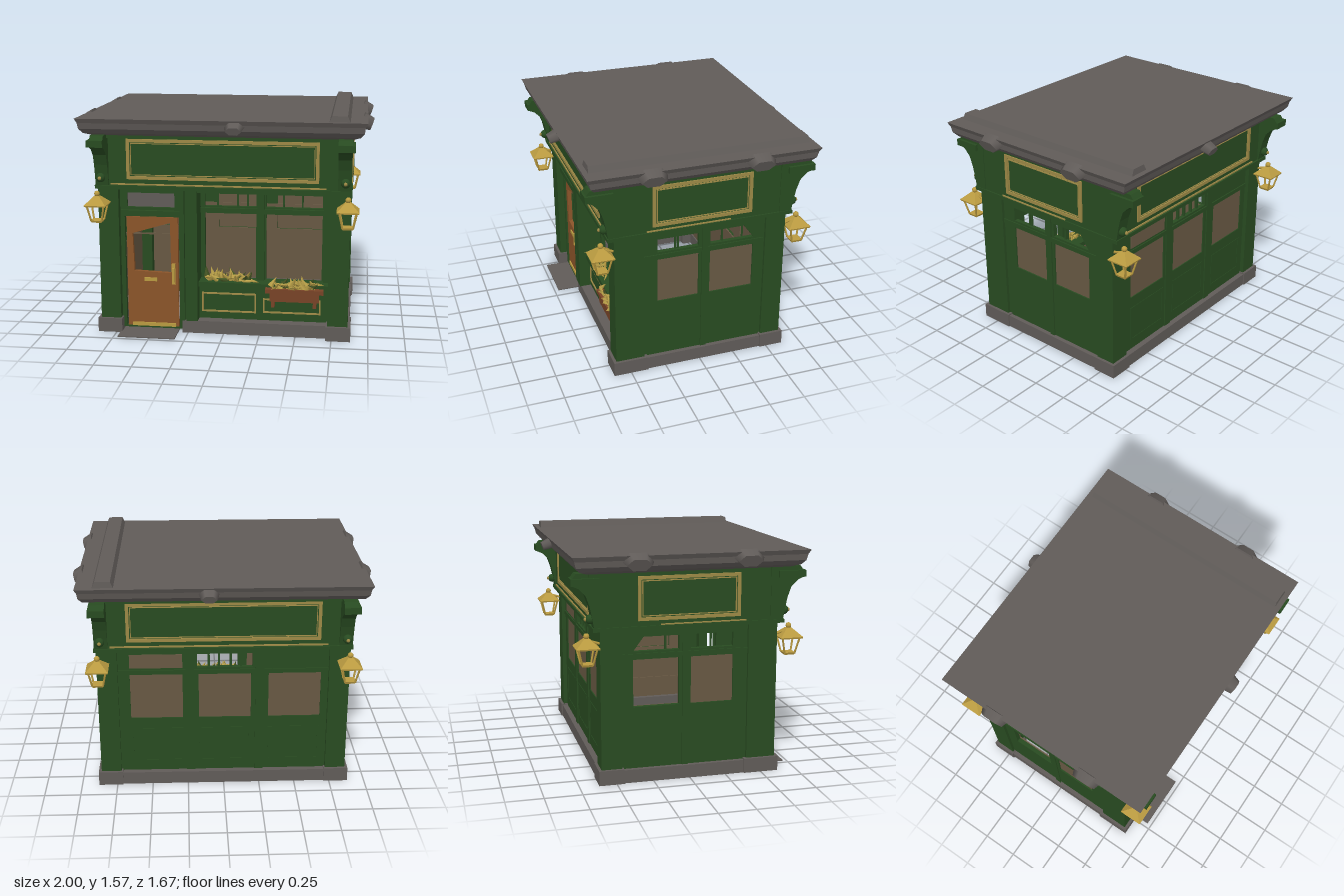
import * as THREE from 'three';

const mat = (name, color) => Object.assign(new THREE.MeshStandardMaterial({ color }), { name });

export function createModel() {
  const root = new THREE.Group();
  root.name = 'cornerShop';
  const green = mat('green paint', 0x284b21);
  const stone = mat('grey stone', 0x605b58);
  const gold = mat('worn gold', 0x9c8845);
  const brass = mat('brass', 0xb99a40);
  const wood = mat('door wood', 0x8a5429);
  const darkWood = mat('planter wood', 0x774326);
  const pane = mat('brown glass', 0x675843);
  const leaf = mat('yellow leaves', 0xbfa54a);
  const darkLeaf = mat('green leaves', 0x4a5a26);

  const add = (parent, name, geo, m, x = 0, y = 0, z = 0) => {
    const mesh = new THREE.Mesh(geo, m);
    mesh.name = name;
    mesh.position.set(x, y, z);
    parent.add(mesh);
    return mesh;
  };
  // box given by its limits
  const box = (p, name, m, x0, x1, y0, y1, z0, z1) =>
    add(p, name, new THREE.BoxGeometry(x1 - x0, y1 - y0, z1 - z0), m, (x0 + x1) / 2, (y0 + y1) / 2, (z0 + z1) / 2);
  // box whose top and bottom differ in size
  const taper = (p, name, m, y0, hx0, hz0, y1, hx1, hz1) => {
    const g = new THREE.BoxGeometry(2, 1, 2).toNonIndexed();
    const a = g.attributes.position;
    for (let i = 0; i < a.count; i++) {
      const top = a.getY(i) > 0;
      a.setXYZ(i, a.getX(i) * (top ? hx1 : hx0), top ? y1 : y0, a.getZ(i) * (top ? hz1 : hz0));
    }
    g.computeVertexNormals();
    return add(p, name, g, m);
  };
  const poly = (pts, Type = THREE.Shape) => new Type(pts.map(q => new THREE.Vector2(...q)));
  const rect = (x0, x1, y0, y1) => [[x0, y0], [x1, y0], [x1, y1], [x0, y1]];
  const plate = (p, name, m, pts, holes, z, depth) => {
    const s = poly(pts);
    s.holes = holes.map(h => poly(h, THREE.Path));
    return add(p, name, new THREE.ExtrudeGeometry(s, { depth, bevelEnabled: false }), m, 0, 0, z);
  };
  const frame = (p, name, m, x0, x1, y0, y1, t, z, d = 0.009) =>
    plate(p, name, m, rect(x0, x1, y0, y1), [rect(x0 + t, x1 - t, y0 + t, y1 - t)], z, d);
  // wall facing +z with a brown lining inside its lower part
  const wall = (p, x0, x1, holes, z) => {
    plate(p, 'wall', green, rect(x0, x1, 0.02, 1.06), holes, z - 0.03, 0.03);
    plate(p, 'wallLining', pane, rect(x0, x1, 0.02, 0.7), holes.map(h => h.map(([x, y]) => [x, Math.min(y, 0.69)]))
      .filter(h => h[0][1] < 0.6), z - 0.04, 0.009);
  };
  const face = (name, angle) => {
    const g = new THREE.Group();
    g.name = name;
    g.rotation.y = angle;
    root.add(g);
    return g;
  };
  const front = face('frontFace', 0), back = face('backFace', Math.PI);
  const leftSide = face('leftFace', Math.PI / 2), rightSide = face('rightFace', -Math.PI / 2);

  // corner pillars with stone feet
  for (const s of [-1, 1]) {
    const xs = s > 0 ? [0.72, 0.86] : [-0.86, -0.72], fs = s > 0 ? [0.71, 0.88] : [-0.88, -0.71];
    box(root, 'frontPillar', green, ...xs, 0.08, 1.06, 0.4, 0.6);
    box(root, 'backPillar', green, ...xs, 0.08, 1.06, -0.6, -0.46);
    box(root, 'frontFoot', stone, ...fs, 0, 0.1, 0.38, 0.62);
    box(root, 'backFoot', stone, ...fs, 0, 0.1, -0.62, -0.45);
    box(root, 'sideBase', stone, ...(s > 0 ? [0.76, 0.87] : [-0.87, -0.76]), 0, 0.09, -0.46, 0.4);
  }
  box(root, 'backBase', stone, -0.72, 0.72, 0, 0.09, -0.61, -0.52);
  box(root, 'frontBase', stone, -0.29, 0.72, 0, 0.09, 0.46, 0.57);
  box(root, 'doorMat', stone, -0.72, -0.32, 0, 0.008, 0.46, 0.72);

  // door wall, with a return to the recessed windows
  wall(front, -0.74, -0.19, [rect(-0.69, -0.31, 0.03, 0.83), rect(-0.67, -0.34, 0.89, 0.99)], 0.55);
  box(front, 'doorTransomPane', stone, -0.67, -0.34, 0.89, 0.99, 0.525, 0.533);
  box(front, 'doorLintel', green, -0.71, -0.29, 0.83, 0.87, 0.54, 0.575);
  for (const [a, b] of [[-0.3, -0.27], [-0.26, -0.18]]) box(front, 'doorPost', green, a, b, 0.09, 1.05, 0.53, 0.58);
  box(front, 'windowReturn', green, -0.22, -0.18, 0.05, 1.05, 0.38, 0.55);

  // recessed windows
  const panes = [[-0.15, 0.21], [0.28, 0.67]], zw = 0.41;
  plate(front, 'windowWall', green, rect(-0.2, 0.74, 0.33, 1.06),
    panes.flatMap(([a, b]) => [rect(a, b, 0.36, 0.83), rect(a, b, 0.88, 0.98)]), zw - 0.03, 0.03);
  for (const [a, b] of [[0.22, 0.27], [0.68, 0.72]]) box(front, 'windowPost', green, a, b, 0.34, 1.05, zw - 0.02, zw + 0.03);
  box(front, 'windowRail', green, -0.18, 0.7, 0.835, 0.87, zw - 0.01, zw + 0.02);
  box(front, 'windowSoffit', green, -0.2, 0.74, 1.0, 1.04, zw - 0.03, 0.56);
  for (const x of [-0.06, 0.08, 0.15, 0.4, 0.53])
    box(front, 'transomBar', green, x - 0.006, x + 0.006, 0.87, 0.99, zw - 0.025, zw - 0.01);
  box(front, 'windowSill', green, -0.22, 0.72, 0.325, 0.36, zw - 0.03, 0.525);
  box(front, 'apron', green, -0.2, 0.74, 0.05, 0.33, 0.47, 0.495);
  box(front, 'apronLining', pane, -0.2, 0.74, 0.05, 0.32, 0.462, 0.47);
  frame(front, 'panelTrim', gold, -0.16, 0.22, 0.14, 0.28, 0.011, 0.495);
  frame(front, 'panelTrim', gold, 0.27, 0.67, 0.145, 0.25, 0.011, 0.495);

  // door
  const door = new THREE.Group();
  door.name = 'door';
  front.add(door);
  plate(door, 'doorLeaf', wood, rect(-0.68, -0.32, 0.02, 0.82),
    [[[-0.63, 0.43], [-0.37, 0.42], [-0.375, 0.78], [-0.64, 0.7]]], 0.51, 0.03);
  box(door, 'kickPlate', brass, -0.65, -0.34, 0.02, 0.055, 0.54, 0.549);
  box(door, 'letterSlot', brass, -0.56, -0.47, 0.36, 0.385, 0.54, 0.549);
  box(door, 'handlePlate', brass, -0.365, -0.34, 0.34, 0.49, 0.54, 0.549);
  box(door, 'handle', brass, -0.36, -0.345, 0.36, 0.46, 0.56, 0.575);
  for (const y of [0.36, 0.445]) box(door, 'handleMount', brass, -0.36, -0.345, y, y + 0.015, 0.545, 0.565);

  // back wall: its own +x points to the model's right
  const backWindows = [-0.46, 0.01, 0.49];
  wall(back, -0.74, 0.74, [...backWindows.map(c => rect(c - 0.18, c + 0.18, 0.5, 0.83)), rect(-0.18, 0.2, 0.88, 0.98)], 0.57);
  for (const c of backWindows) {
    box(back, 'backPane', pane, c - 0.18, c + 0.18, 0.5, 0.83, 0.555, 0.563);
    frame(back, 'lowerPanel', green, c - 0.18, c + 0.18, 0.16, 0.42, 0.012, 0.57, 0.003);
  }
  box(back, 'filledTransom', pane, -0.64, -0.28, 0.88, 0.98, 0.57, 0.575);
  box(back, 'backRail', green, -0.72, 0.72, 0.835, 0.865, 0.57, 0.578);
  for (const x of [-0.1, -0.03, 0.05, 0.12])
    box(back, 'transomBar', green, x - 0.007, x + 0.007, 0.87, 0.99, 0.54, 0.56);
  for (const x of [-0.23, 0.25]) box(back, 'backPost', green, x - 0.03, x + 0.03, 0.09, 1.05, 0.56, 0.578);

  // side walls; local x is -z on the left face and +z on the right face
  for (const [g, s] of [[leftSide, -1], [rightSide, 1]]) {
    const flip = (a, b) => (s < 0 ? [-b, -a] : [a, b]);
    const fr = flip(0.01, 0.3), bk = flip(-0.38, -0.07);
    const cut = s * -0.38, mid = s * -0.31, near = s * -0.07;
    wall(g, -0.47, 0.47, [rect(...fr, 0.51, 0.83), rect(...bk, 0.51, 0.83), rect(...fr, 0.885, 0.98),
      [[near, 0.885], [cut, 0.885], [mid, 0.98], [near, 0.98]]], 0.84);
    box(g, 'sidePane', pane, ...fr, 0.51, 0.83, 0.822, 0.83);
    if (s < 0) box(g, 'sidePane', pane, ...bk, 0.51, 0.83, 0.822, 0.83);
    box(g, 'sidePost', green, ...flip(-0.05, -0.01), 0.09, 1.05, 0.83, 0.85);
    box(g, 'sideRail', green, ...flip(-0.45, 0.4), 0.84, 0.87, 0.83, 0.848);
    for (const x of [0.15, 0.17, -0.16])
      box(g, 'transomBar', green, s * x - 0.006, s * x + 0.006, 0.87, 0.99, 0.815, 0.825);
    frame(g, 'signTrim', gold, ...flip(-0.35, 0.34), 1.09, 1.38, 0.022, 0.86);
    frame(g, 'signTrimInner', gold, ...flip(-0.322, 0.312), 1.118, 1.352, 0.006, 0.86, 0.006);
    box(g, 'goldLine', gold, ...flip(-0.2, 0.38), 1.058, 1.066, 0.86, 0.868);
  }

  // fascia, sign trims and corbels on front and back
  const corbelPts = [[0.55, 1.04], [0.635, 1.04], [0.65, 1.13], [0.665, 1.2], [0.69, 1.27], [0.735, 1.315],
    [0.78, 1.335], [0.78, 1.37], [0.75, 1.41], [0.55, 1.41]];
  for (const g of [front, back]) {
    box(g, 'fascia', green, -0.86, 0.86, 1.03, 1.41, 0.53, 0.63);
    box(g, 'fasciaFoot', green, -0.87, 0.87, 1.03, 1.055, 0.54, 0.645);
    box(g, 'fasciaCap', green, -0.87, 0.87, 1.385, 1.415, 0.55, 0.67);
    frame(g, 'signTrim', gold, -0.65, 0.65, 1.1, 1.375, 0.022, 0.63);
    frame(g, 'signTrimInner', gold, -0.622, 0.622, 1.128, 1.347, 0.005, 0.63, 0.006);
    box(g, 'goldLine', gold, -0.76, 0.7, 1.06, 1.07, 0.63, 0.638);
    for (const s of [-1, 1]) {
      const c = plate(g, 'corbel', green, corbelPts, [], 0, 0.09);
      c.rotation.y = -Math.PI / 2;
      c.position.x = s * 0.82 + 0.045;
      box(g, 'corbelBand', green, s * 0.83 - 0.055, s * 0.83 + 0.055, 1.335, 1.38, 0.6, 0.785);
      add(g, 'corbelKnob', new THREE.SphereGeometry(0.032, 10, 8), green, s * 0.825, 1.11, 0.655);
      add(g, 'corbelStud', new THREE.SphereGeometry(0.013, 8, 6), gold, s * 0.825, 1.11, 0.685);
    }
  }
  for (const g of [leftSide, rightSide]) {
    box(g, 'sideFascia', green, -0.6, 0.6, 1.03, 1.41, 0.78, 0.86);
    box(g, 'sideFasciaFoot', green, -0.63, 0.63, 1.03, 1.055, 0.8, 0.87);
  }

  // roof built from stacked courses with a rounded gutter
  const roof = new THREE.Group();
  roof.name = 'roof';
  root.add(roof);
  const courses = [[1.405, 0.87, 0.68], [1.425, 0.915, 0.735], [1.455, 0.94, 0.76], [1.495, 0.945, 0.77], [1.525, 0.96, 0.785]];
  for (let i = 0; i < 4; i++) taper(roof, 'roofCourse', stone, ...courses[i], ...courses[i + 1]);
  taper(roof, 'roofRidge', stone, 1.52, 0.07, 0.75, 1.565, 0.05, 0.745).position.x = 0.78;
  // drooping gutter lumps
  const lump = (g, x, y, z, w, h, d) => {
    const geo = new THREE.CylinderGeometry(0.75, 1, 1, 6).rotateX(Math.PI / 2).rotateZ(Math.PI / 6);
    const m = add(g, 'gutterLump', geo, stone, x, y, z);
    m.scale.set(w, h, d);
    m.rotation.x = 0.35;
  };
  for (const s of [-1, 1]) {
    for (const g of [leftSide, rightSide]) lump(g, s * 0.365, 1.48, 0.955, 0.11, 0.06, 0.07);
    lump(s > 0 ? front : back, s * 0.1, 1.475, 0.79, 0.07, 0.04, 0.075);
  }

  // lanterns hung from the pillars
  for (const g of [front, back]) for (const s of [-1, 1]) {
    const l = new THREE.Group();
    l.name = 'lantern';
    l.position.set(s * 0.845, 0, 0.685);
    g.add(l);
    taper(l, 'lanternCap', brass, 0.935, 0.075, 0.078, 0.99, 0.018, 0.018);
    taper(l, 'lanternRim', brass, 0.925, 0.072, 0.075, 0.935, 0.075, 0.078);
    add(l, 'finial', new THREE.SphereGeometry(0.02, 8, 6), brass, 0, 1.005, 0);
    taper(l, 'lanternFoot', brass, 0.81, 0.034, 0.034, 0.825, 0.04, 0.04);
    for (const a of [-1, 1]) for (const b of [-1, 1])
      add(l, 'lanternBar', new THREE.TubeGeometry(new THREE.LineCurve3(new THREE.Vector3(a * 0.035, 0.82, b * 0.035),
        new THREE.Vector3(a * 0.058, 0.93, b * 0.06)), 1, 0.007, 5), brass);
    add(l, 'lanternArm', new THREE.TubeGeometry(new THREE.LineCurve3(new THREE.Vector3(0, 0.98, 0),
      new THREE.Vector3(0, 0.95, -0.095)), 1, 0.009, 5), brass);
  }

  // planter and leaves
  box(front, 'planter', darkWood, 0.32, 0.66, 0.25, 0.31, 0.505, 0.565);
  box(front, 'planterRim', darkWood, 0.29, 0.69, 0.31, 0.34, 0.497, 0.575);
  for (const x of [0.34, 0.63]) box(front, 'planterLeg', darkWood, x - 0.012, x + 0.012, 0.2, 0.31, 0.495, 0.54);
  let seed = 7;
  const rnd = () => (seed = (seed * 16807) % 2147483647) / 2147483647;
  for (const [x0, x1, y, z] of [[-0.13, 0.18, 0.36, 0.45], [0.33, 0.64, 0.335, 0.51]]) for (let i = 0; i < 44; i++) {
    const g = new THREE.ConeGeometry(0.024, 0.08, 4).translate(0, 0.03, 0).scale(1, 1, 0.3);
    const m = add(front, 'leaf', g, i % 6 ? leaf : darkLeaf, x0 + (x1 - x0) * rnd(), y + 0.035 * rnd(), z + 0.05 * rnd());
    m.rotation.set(rnd() * 1.5 - 0.4, rnd() - 0.5, (rnd() - 0.5) * 3);
  }
  return root;
}
